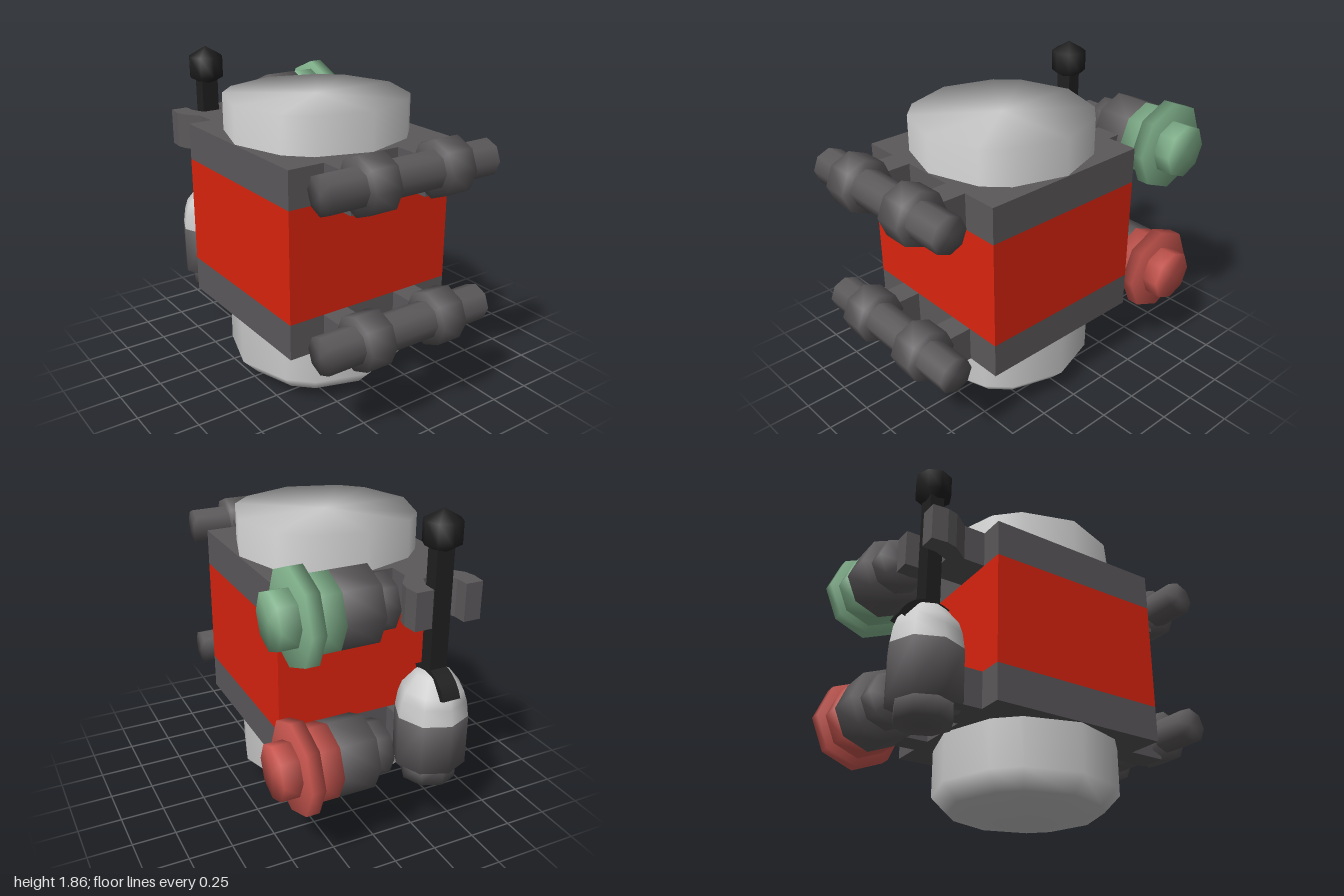
import * as THREE from 'three';
import { mergeVertices } from 'three/addons/utils/BufferGeometryUtils.js';

const mat = (color) => new THREE.MeshStandardMaterial({ color });

// Share vertices so shading runs smoothly over the low-poly edges
function smooth(geo) {
  geo.deleteAttribute('normal');
  geo.deleteAttribute('uv');
  const g = mergeVertices(geo);
  g.computeVertexNormals();
  return g;
}

export function createModel() {
  const model = new THREE.Group();
  const light = mat(0xcccccc), dark = mat(0x5c595b), red = mat(0xdc240e);
  const green = mat(0x83b48e), coral = mat(0xc9564f), black = mat(0x202020);
  const CX = -0.08, CZ = 0.05, R = 0.525;

  const add = (name, geo, material, x = 0, y = 0, z = 0, parent = model) => {
    const m = new THREE.Mesh(geo, material);
    m.name = name;
    m.position.set(x, y, z);
    parent.add(m);
    return m;
  };
  // Box given by its minimum and maximum corners
  const box = (name, material, a, b) => add(name,
    new THREE.BoxGeometry(b[0] - a[0], b[1] - a[1], b[2] - a[2]), material,
    (a[0] + b[0]) / 2, (a[1] + b[1]) / 2, (a[2] + b[2]) / 2);
  // Eight-sided cylinder lying along x
  const rod = (name, material, x0, x1, r, y, z, parent) => add(name,
    smooth(new THREE.CylinderGeometry(r, r, x1 - x0, 8).rotateZ(Math.PI / 2)),
    material, (x0 + x1) / 2, y, z, parent);
  const lathe = (pts, sides) =>
    new THREE.LatheGeometry(pts.map(([r, y]) => new THREE.Vector2(r, y)), sides);

  // Drum: twelve sides, with narrow faces on the four diagonals
  const drumGeo = lathe([[0, 0], [0.145, 0], [0.43, 0.065], [0.52, 0.16], [0.52, 1.685], [0, 1.685]], 12);
  const p = drumGeo.attributes.position;
  for (let i = 0; i < p.count; i++) {
    const r = Math.hypot(p.getX(i), p.getZ(i));
    const k = Math.round(Math.atan2(p.getZ(i), p.getX(i)) / (Math.PI / 6)) + 12;
    const a = THREE.MathUtils.degToRad(k * 30 + [0, 5.5, -5.5][k % 3]);
    p.setXYZ(i, r * Math.cos(a), p.getY(i), r * Math.sin(a));
  }
  add('drum', smooth(drumGeo), light, CX, 0, CZ);

  // Square jacket and its two frames
  box('jacket', red, [CX - R, 0.635, CZ - R], [CX + R, 1.265, CZ + R]);
  const levels = [['lower', 0.43, 0.635, 0.585], ['upper', 1.265, 1.475, 1.425]];
  for (const [level, y0, y1, barY] of levels) {
    box(level + 'Frame', dark, [CX - R, y0, CZ - R], [CX + R, y1, CZ + R]);

    // Front bar held by two clamps on arms
    rod(level + 'Bar', dark, CX - R, CX + R, 0.105, barY, 0.845);
    for (const x of [-0.318, 0.155]) {
      box(level + 'Arm', dark, [x - 0.077, y0, 0.5], [x + 0.077, y1, 0.8]);
      rod(level + 'Clamp', dark, x - 0.078, x + 0.078, 0.155, barY, 0.845);
    }

    // Tap at the back
    const tap = new THREE.Group();
    tap.name = level + 'Tap';
    const colour = level === 'upper' ? green : coral;
    rod('tapEnd', dark, -0.03, 0.1, 0.155, barY, -0.74, tap);
    rod('tapBody', dark, 0.08, 0.29, 0.21, barY, -0.74, tap);
    rod('tapCollar', colour, 0.29, 0.43, 0.21, barY, -0.74, tap);
    rod('tapFlange', colour, 0.42, 0.495, 0.26, barY, -0.74, tap);
    rod('tapKnob', colour, 0.48, 0.6, 0.155, barY, -0.74, tap);
    model.add(tap);
    box(level + 'TapArm', dark, [0.1, y0, -0.66], [0.255, y1, -0.42]);
  }

  // Corner blocks on the narrow drum faces
  for (let i = 0; i < 4; i++) {
    const a = Math.PI / 4 + i * Math.PI / 2;
    add('cornerBlock', new THREE.BoxGeometry(0.17, 0.12, 0.04), dark,
      CX + 0.492 * Math.sin(a), 1.52, CZ + 0.492 * Math.cos(a)).rotation.y = a;
  }

  // Fork that guides the lever
  const LX = -0.345, LZ = -0.74;
  const half = [[0.12, 0.45], [0.12, 0.6], [0.19, 0.69], [0.205, 0.75], [0.197, 0.84],
    [0.097, 0.84], [0.095, 0.76], [0.06, 0.68]];
  const outline = [...half, ...half.map(([x, y]) => [-x, y]).reverse()];
  const forkGeo = new THREE.ExtrudeGeometry(
    new THREE.Shape(outline.map(([x, y]) => new THREE.Vector2(x, y))),
    { depth: 0.21, bevelEnabled: false }).rotateX(-Math.PI / 2);
  add('leverFork', forkGeo, dark, LX, 1.265, 0);

  // Lever housing with dome, slot, lever and knob
  box('housingArm', dark, [LX - 0.12, 0.43, -0.66], [LX + 0.12, 0.635, -0.42]);
  add('housingFoot', smooth(new THREE.CylinderGeometry(0.155, 0.155, 0.12, 8)), dark, LX, 0.385, LZ);
  add('housing', smooth(new THREE.CylinderGeometry(0.205, 0.205, 0.29, 8)), dark, LX, 0.575, LZ);
  add('housingDome', smooth(lathe([[0.205, 0.71], [0.19, 0.81], [0.17, 0.87], [0.1, 0.957], [0, 0.99]], 8)),
    light, LX, 0, LZ);
  const slotMat = black.clone();
  slotMat.side = THREE.DoubleSide;
  const slotGeo = new THREE.CylinderGeometry(0.197, 0.197, 0.105, 8, 1, false, -Math.PI / 6, Math.PI * 0.55);
  // Turn the arc so that it runs over the top and down towards the back
  slotGeo.rotateZ(Math.PI / 2).rotateX(-Math.PI / 2);
  add('leverSlot', slotGeo, slotMat, LX, 0.8, LZ);
  box('lever', black, [LX - 0.052, 0.85, LZ - 0.042], [LX + 0.052, 1.7, LZ + 0.042]);
  add('leverKnob', smooth(new THREE.SphereGeometry(0.12, 8, 3)), black, LX, 1.738, LZ);

  return model;
}
